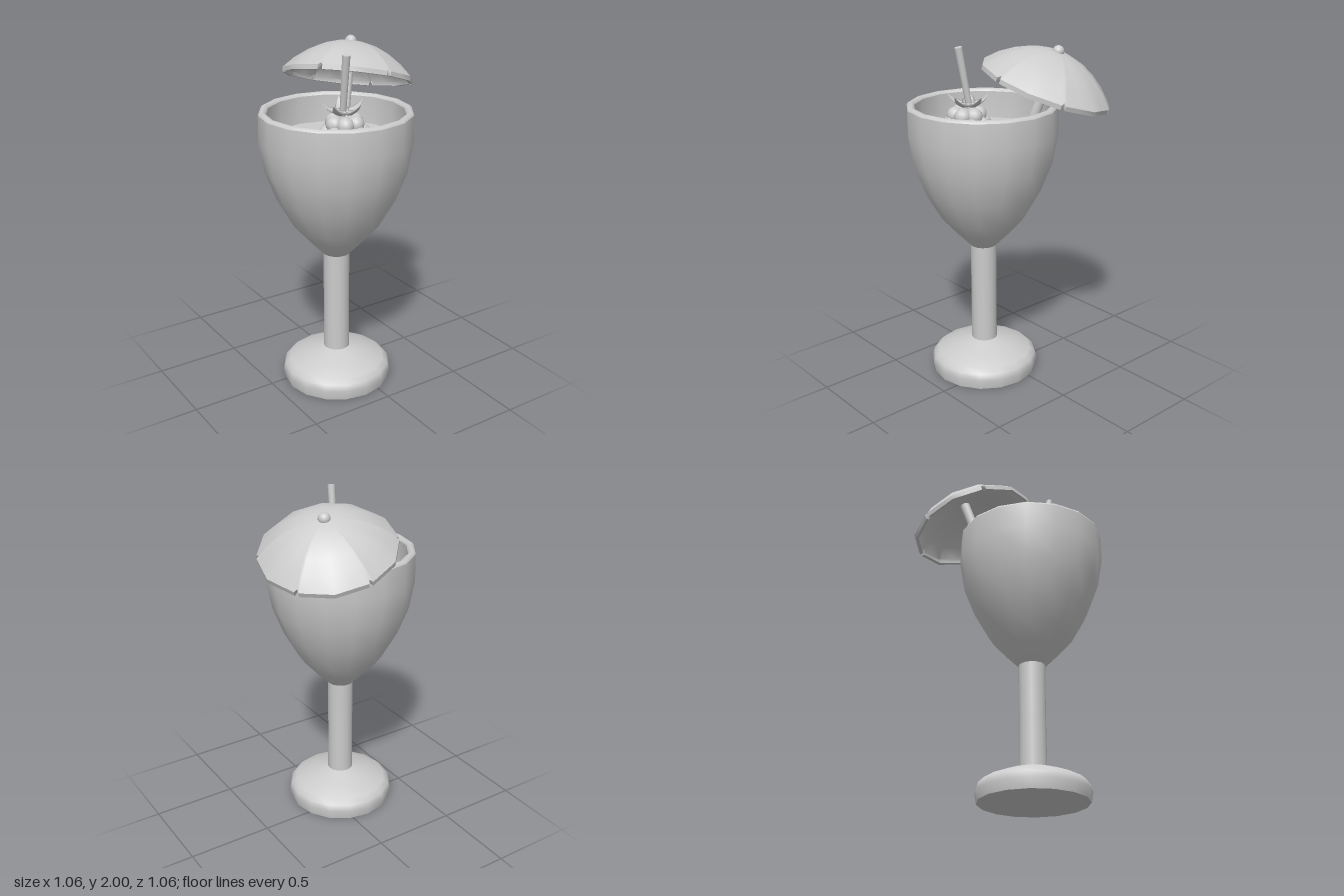
import * as THREE from 'three';
import { toCreasedNormals } from 'three/addons/utils/BufferGeometryUtils.js';

const clay = new THREE.MeshStandardMaterial({ color: 0xcccccc, side: THREE.DoubleSide });
clay.name = 'light grey';

function add(parent, name, geometry, x = 0, y = 0, z = 0) {
  const mesh = new THREE.Mesh(geometry, clay);
  mesh.name = name;
  mesh.position.set(x, y, z);
  parent.add(mesh);
  return mesh;
}

function lathe(points) {
  return new THREE.LatheGeometry(points.map(([r, y]) => new THREE.Vector2(r, y)), 16);
}

// Tapered rod running from one point to another
function rod(parent, name, from, to, rBottom, rTop) {
  const a = new THREE.Vector3(...from), b = new THREE.Vector3(...to);
  const dir = b.clone().sub(a);
  const mesh = add(parent, name, new THREE.CylinderGeometry(rTop, rBottom, dir.length(), 12));
  mesh.position.copy(a).add(b).multiplyScalar(0.5);
  mesh.quaternion.setFromUnitVectors(new THREE.Vector3(0, 1, 0), dir.normalize());
}

// Twelve-sided domed shell with a lip and six small notches
function canopyGeometry() {
  const profile = [[0, 0.19], [0.08, 0.183], [0.16, 0.16], [0.24, 0.12], [0.32, 0.063], [0.385, 0],
    [0.383, -0.026], [0.363, -0.026], [0.358, -0.003], [0.3, 0.052], [0.22, 0.104], [0.12, 0.146], [0, 0.168]];
  const notch = { 5: [0.366, 0.012], 6: [0.355, 0.004], 7: [0.35, 0.004], 8: [0.345, 0.006] };
  const step = Math.PI / 6, half = step / 2, columns = [];
  for (let k = 0; k < 12; k++) {
    const offsets = k % 2 ? [-0.045, -0.035, 0, 0.035, 0.045] : [0];
    for (const d of offsets) columns.push({ a: k * step + d - 0.03, d, cut: k % 2 === 1 && d === 0 });
    columns.push({ a: (k + 0.5) * step - 0.03, d: half, cut: false });
  }
  const n = columns.length, pos = [], index = [];
  profile.forEach((p, i) => {
    for (const { a, d, cut } of columns) {
      const [r, h] = cut && notch[i] ? notch[i] : p;
      const flat = r * Math.cos(half) / Math.cos(half - Math.abs(d));
      pos.push(flat * Math.cos(a), h, flat * Math.sin(a));
    }
  });
  for (let i = 0; i < profile.length - 1; i++) {
    for (let j = 0; j < n; j++) {
      const k = (j + 1) % n;
      const a = i * n + j, b = i * n + k, c = a + n, d = b + n;
      if (i > 0) index.push(a, b, c);
      if (i < profile.length - 2) index.push(b, d, c);
      else continue;
      if (i === 0) continue;
    }
  }
  const geo = new THREE.BufferGeometry();
  geo.setAttribute('position', new THREE.Float32BufferAttribute(pos, 3));
  geo.setIndex(index);
  return toCreasedNormals(geo, 0.7);
}

// Pointed leaf curling upwards along +x
function leafGeometry() {
  const geo = new THREE.SphereGeometry(1, 8, 10).rotateZ(-Math.PI / 2);
  const p = geo.attributes.position;
  for (let i = 0; i < p.count; i++) {
    const t = (p.getX(i) + 1) / 2;
    const taper = Math.sqrt(Math.max(0, 1 - t)) * 1.4;
    const side = p.getZ(i) * taper;
    p.setXYZ(i, t * 0.125, p.getY(i) * 0.007 * taper + 0.055 * t * t - 0.018 * Math.sin(Math.PI * t) + 0.012 * side * side,
      side * 0.036);
  }
  geo.computeVertexNormals();
  return geo;
}

export function createModel() {
  const model = new THREE.Group();
  model.name = 'cocktail';

  // Goblet
  const goblet = new THREE.Group();
  goblet.name = 'goblet';
  goblet.position.set(-0.1, 0, 0.1);
  model.add(goblet);
  add(goblet, 'foot', lathe([[0.315, 0], [0.326, 0.058], [0.315, 0.095], [0.283, 0.124], [0.19, 0.162], [0.078, 0.198]]));
  add(goblet, 'footBottom', new THREE.CircleGeometry(0.315, 16).rotateX(Math.PI / 2));
  add(goblet, 'stem', lathe([[0.078, 0.19], [0.076, 0.5], [0.078, 0.815]]));
  add(goblet, 'bowl', lathe([[0.078, 0.81], [0.165, 0.9], [0.25, 0.995], [0.34, 1.155], [0.405, 1.325], [0.434, 1.5],
    [0.432, 1.652]]));
  add(goblet, 'rim', lathe([[0.432, 1.652], [0.425, 1.664], [0.41, 1.668], [0.396, 1.664], [0.388, 1.652]]));
  add(goblet, 'innerWall', lathe([[0.388, 1.652], [0.39, 1.5], [0.38, 1.44]]));
  add(goblet, 'drink', new THREE.CircleGeometry(0.39, 16).rotateX(-Math.PI / 2), 0, 1.49, 0);

  // Berry built from rings of round segments
  const berry = new THREE.Group();
  berry.name = 'berry';
  berry.position.set(-0.113, 1.55, 0.203);
  model.add(berry);
  add(berry, 'berryCore', new THREE.SphereGeometry(0.095, 16, 12));
  const bead = new THREE.SphereGeometry(0.048, 12, 10);
  [[0.064, 0.066, 6], [0.012, 0.094, 8], [-0.048, 0.084, 8], [-0.098, 0.045, 5]].forEach(([y, r, count], row) => {
    for (let i = 0; i < count; i++) {
      const a = (i + (row % 2) / 2) / count * Math.PI * 2;
      add(berry, 'berrySegment', bead, Math.cos(a) * r, y, Math.sin(a) * r);
    }
  });

  // Leaves and stalk
  const leaf = leafGeometry();
  for (let i = 0; i < 5; i++) {
    add(model, 'leaf', leaf, -0.112, 1.676, 0.19).rotation.y = -(0.07 + i * Math.PI * 2 / 5);
  }
  rod(model, 'stalk', [-0.112, 1.65, 0.183], [-0.129, 1.993, 0.243], 0.018, 0.022);

  // Tilted paper umbrella
  const axis = new THREE.Vector3(0.25, 0.94, -0.22).normalize();
  const umbrella = new THREE.Group();
  umbrella.name = 'umbrella';
  umbrella.position.set(0.2, 1.963, -0.2).addScaledVector(axis, -0.19);
  umbrella.quaternion.setFromUnitVectors(new THREE.Vector3(0, 1, 0), axis);
  model.add(umbrella);
  add(umbrella, 'canopy', canopyGeometry());
  add(umbrella, 'knob', new THREE.SphereGeometry(0.034, 12, 10), 0, 0.19, 0);
  rod(umbrella, 'pole', [0, -0.36, 0], [0, 0.18, 0], 0.03, 0.03);

  return model;
}
